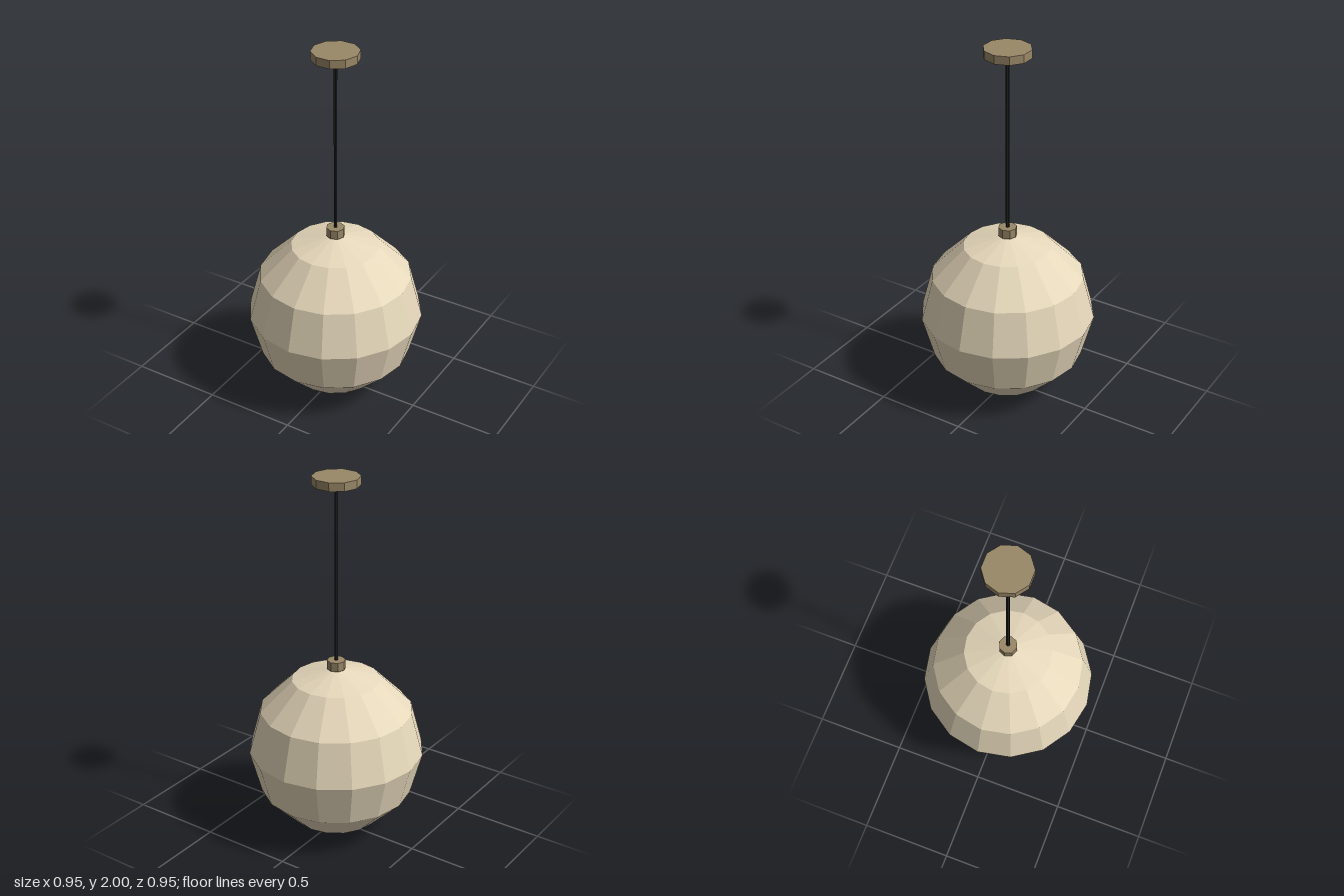
import * as THREE from 'three';

function mat(name, color) {
  const m = new THREE.MeshStandardMaterial({ color, flatShading: true });
  m.name = name;
  return m;
}

export function createModel() {
  const group = new THREE.Group();
  group.name = 'pendantLamp';
  const cream = mat('cream', 0xe6d8bb);
  const bronze = mat('bronze', 0x9a8868);
  const black = mat('black', 0x222222);

  const add = (name, geometry, material, y) => {
    const mesh = new THREE.Mesh(geometry, material);
    mesh.name = name;
    mesh.position.y = y;
    group.add(mesh);
  };

  // Upright prism between two heights, with a corner on the x axis
  const prism = (name, radius, bottom, top, sides, material) => {
    const geometry = new THREE.CylinderGeometry(radius, radius, top - bottom, sides);
    geometry.rotateY(Math.PI / 2);
    add(name, geometry, material, (top + bottom) / 2);
  };

  // Faceted globe shade
  add('globeShade', new THREE.SphereGeometry(0.475, 16, 6), cream, 0.475);

  // Collar, hanging cord and ceiling canopy
  prism('collar', 0.05, 0.945, 0.995, 8, bronze);
  prism('cord', 0.01, 0.99, 1.96, 6, black);
  prism('ceilingCanopy', 0.125, 1.955, 2, 10, bronze);

  return group;
}
